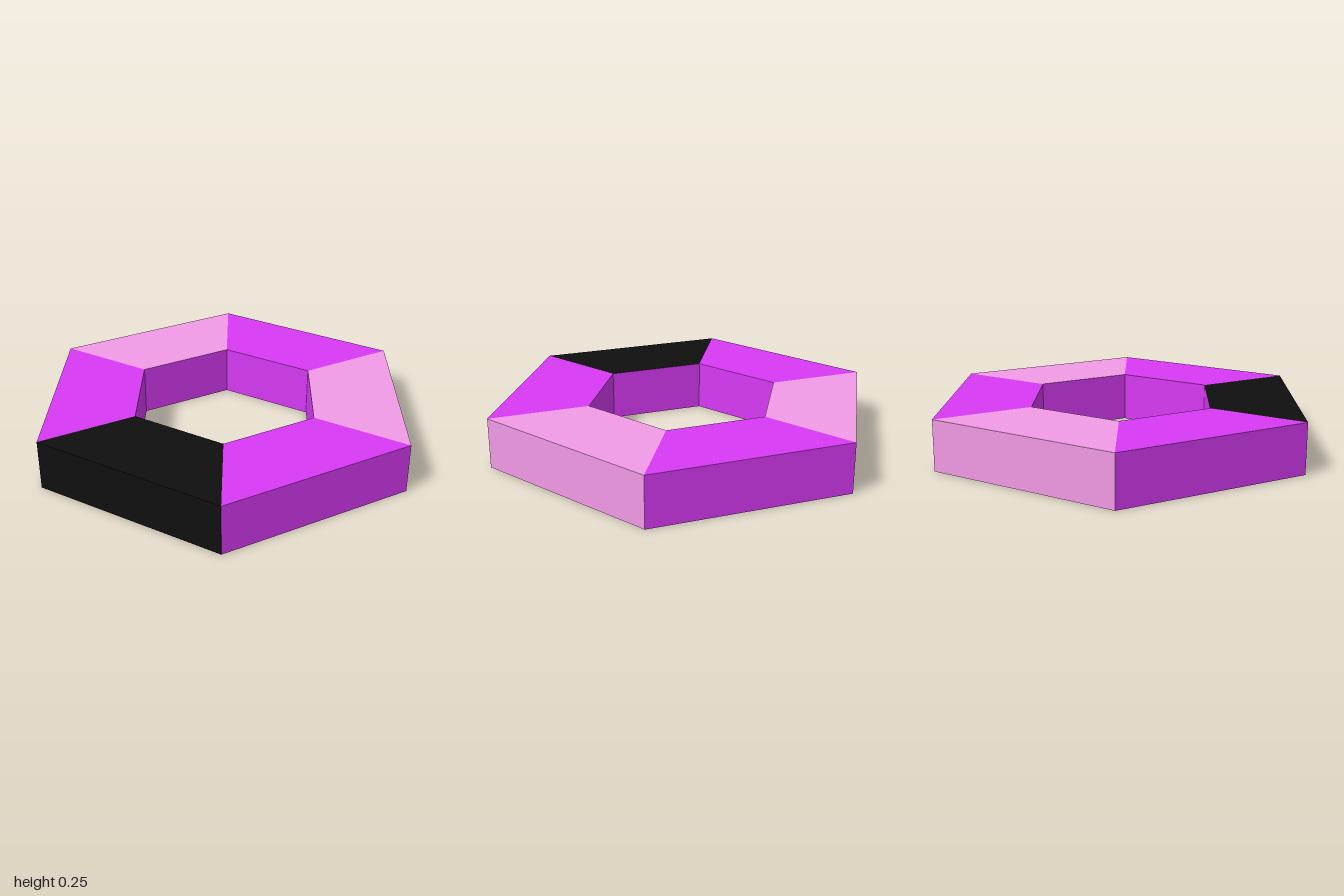
import * as THREE from 'three';

const OUTER = 1.0055, INNER = 0.503, HEIGHT = 0.254;
const SECTOR = Math.PI / 3;
const START = THREE.MathUtils.degToRad(-24);

const paint = (color) => new THREE.MeshStandardMaterial({ color, flatShading: true });

export function createModel() {
  const model = new THREE.Group();
  model.name = 'hexagonalRing';
  const black = paint(0x0f0f0f), purple = paint(0xd83af5), pink = paint(0xf29ae6);

  // Flat-sided sweep of a radius/height profile
  const sweep = (name, profile, start, sides, material) => {
    const points = profile.map(([r, y]) => new THREE.Vector2(r, y));
    const geometry = new THREE.LatheGeometry(points, sides, start, sides * SECTOR);
    const mesh = new THREE.Mesh(geometry, material);
    mesh.name = name;
    model.add(mesh);
  };

  // Six coloured sectors: underside, outer wall and top, starting at the front
  const shell = [[INNER, 0], [OUTER, 0], [OUTER, HEIGHT], [INNER, HEIGHT]];
  const sectors = [
    ['frontSector', black], ['frontLeftSector', purple], ['backLeftSector', pink],
    ['backSector', purple], ['backRightSector', pink], ['frontRightSector', purple],
  ];
  sectors.forEach(([name, material], i) => sweep(name, shell, START + i * SECTOR, 1, material));

  // Inner wall around the hole, one colour throughout
  sweep('innerWall', [[INNER, HEIGHT], [INNER, 0]], START, 6, purple);

  return model;
}
